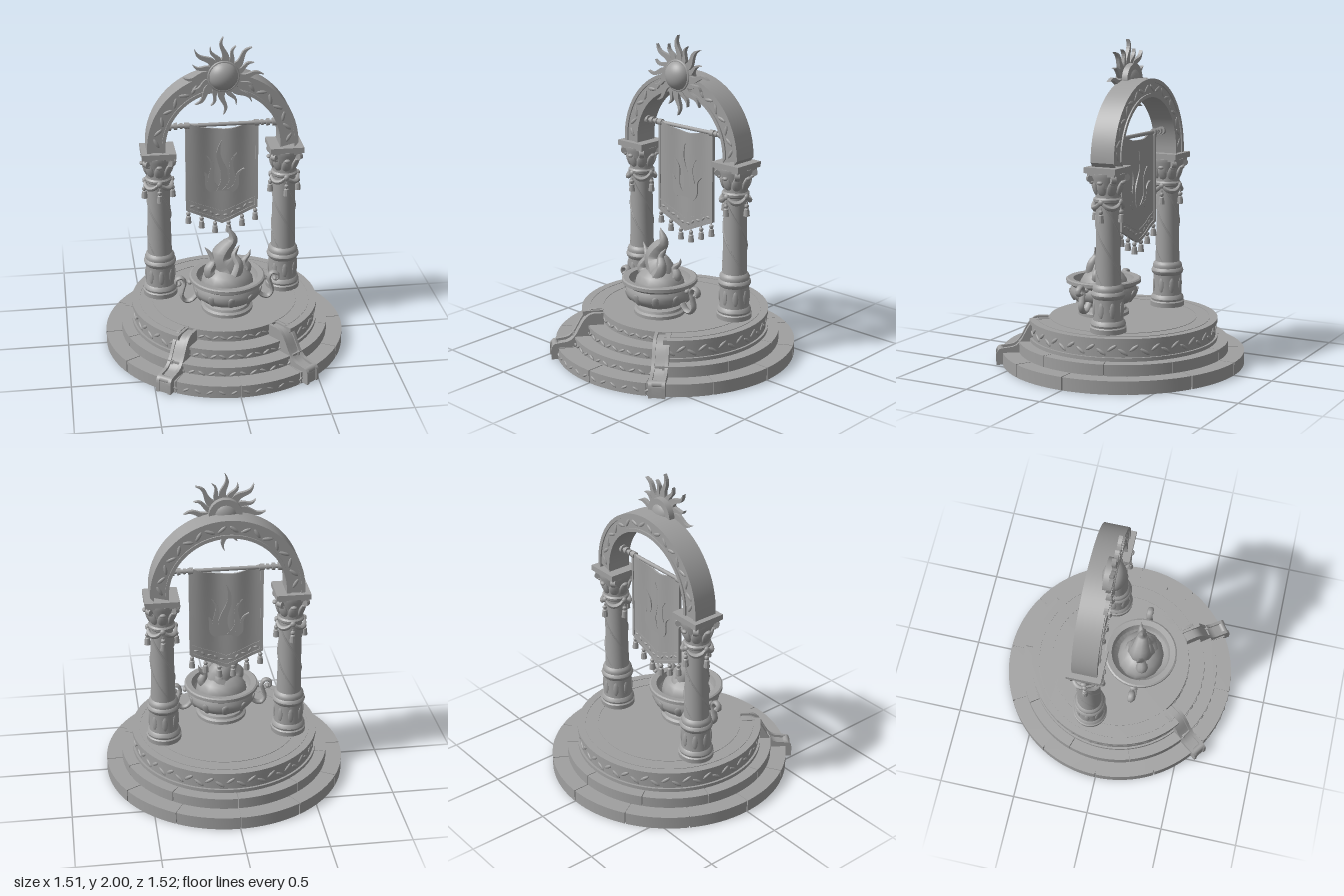
import * as THREE from 'three';
import { toCreasedNormals } from 'three/addons/utils/BufferGeometryUtils.js';

const stone = new THREE.MeshStandardMaterial({ color: 0xa0a0a0 });
stone.name = 'grey stone';
const RAD = Math.PI / 180;

function add(parent, name, geo, x = 0, y = 0, z = 0) {
  const m = new THREE.Mesh(geo, stone);
  m.name = name;
  m.position.set(x, y, z);
  parent.add(m);
  return m;
}
function group(parent, name, x = 0, y = 0, z = 0) {
  const g = new THREE.Group();
  g.name = name;
  g.position.set(x, y, z);
  parent.add(g);
  return g;
}
const lathe = (pts, seg = 32) =>
  toCreasedNormals(new THREE.LatheGeometry(pts.map(p => new THREE.Vector2(...p)), seg), 0.6);
const ball = (rx, ry, rz, w = 10, h = 8) => new THREE.SphereGeometry(1, w, h).scale(rx, ry, rz);

// Ring sector lying flat, angles in degrees from +x, -90 is the front
function sector(r0, r1, a0, a1, y0, y1) {
  const s = new THREE.Shape();
  s.absarc(0, 0, r1, a0 * RAD, a1 * RAD, false);
  s.absarc(0, 0, r0, a1 * RAD, a0 * RAD, true);
  const n = Math.max(6, Math.round((a1 - a0) / 4));
  const g = new THREE.ExtrudeGeometry(s, { depth: y1 - y0, bevelEnabled: false, curveSegments: n });
  return toCreasedNormals(g.rotateX(-Math.PI / 2).translate(0, y0, 0), 0.5);
}
// Tube whose radius follows a rule along its length
function tapered(pts, radius, seg = 24, sides = 10) {
  const c = new THREE.CatmullRomCurve3(pts.map(p => new THREE.Vector3(p[0], p[1], p[2] || 0)));
  const g = new THREE.TubeGeometry(c, seg, 1, sides), pos = g.attributes.position, v = new THREE.Vector3();
  for (let i = 0; i < pos.count; i++) {
    const t = Math.floor(i / (sides + 1)) / seg, p = c.getPointAt(t);
    v.fromBufferAttribute(pos, i).sub(p).multiplyScalar(radius(t)).add(p);
    pos.setXYZ(i, v.x, v.y, v.z);
  }
  g.computeVertexNormals();
  return g;
}
// Flat wavy tongue pointing up +y
function tongue(len, w, amp, depth) {
  const left = [], right = [], n = 12;
  for (let i = 0; i <= n; i++) {
    const t = i / n, c = amp * Math.sin(t * Math.PI * 2), h = w * Math.pow(1 - t, 0.8);
    right.push(new THREE.Vector2(c + h, t * len));
    if (i < n) left.unshift(new THREE.Vector2(c - h, t * len));
  }
  return new THREE.ExtrudeGeometry(new THREE.Shape([...right, ...left]), { depth, bevelEnabled: false });
}
const tassel = () => lathe([[0, -0.085], [0.02, -0.083], [0.015, -0.04], [0.008, -0.034],
  [0.014, -0.024], [0.013, -0.014], [0.005, -0.008], [0.004, 0.004], [0, 0.004]], 10);

function buildBase(root) {
  const g = group(root, 'steppedBase');
  add(g, 'baseCore', new THREE.CylinderGeometry(0.743, 0.743, 0.076, 64), 0, 0.038);
  add(g, 'platformCore', new THREE.CylinderGeometry(0.46, 0.46, 0.285, 64), 0, 0.1425);
  // Paving blocks with fine joints
  for (let i = 0; i < 12; i++) add(g, 'baseBlock', sector(0.6, 0.755, i * 30 + 0.3, i * 30 + 29.7, 0, 0.08));
  for (let i = 0; i < 8; i++) add(g, 'middleBlock', sector(0.5, 0.655, -54 + i * 36 + 0.2, -54 + i * 36 + 35.8, 0.07, 0.148));
  // Upper tier with frieze between two lips
  add(g, 'upperTier', sector(0.42, 0.574, -54, 234, 0.14, 0.28));
  add(g, 'upperLip', sector(0.42, 0.587, -54, 234, 0.258, 0.285));
  add(g, 'lowerLip', sector(0.42, 0.587, -54, 234, 0.14, 0.17));
  add(g, 'floorRing', sector(0.535, 0.541, -54, 234, 0.284, 0.288));
  add(g, 'floorRing', sector(0.452, 0.458, -54, 234, 0.284, 0.288));
  // Front steps, each with a projecting tread
  [[0.65, 0.145], [0.565, 0.215], [0.46, 0.285]].forEach(([r, top]) => {
    add(g, 'stepRiser', sector(0.3, r - 0.01, -126, -54, top - 0.075, top - 0.015));
    add(g, 'stepTread', sector(0.3, r, -126, -54, top - 0.018, top));
  });
  // Carved leaves on frieze and risers
  const leaf = (deg, r, y, tilt, s) => {
    const m = add(g, 'carvedLeaf', ball(0.034 * s, 0.011 * s, 0.008, 8, 6), r * Math.cos(deg * RAD), y, -r * Math.sin(deg * RAD));
    m.rotation.set(0, Math.PI / 2 + deg * RAD, tilt, 'YXZ');
  };
  for (let i = 0; i < 44; i++) leaf(-50 + i * 6.5, 0.574, 0.214 + (i % 2 ? 0.012 : -0.012), i % 2 ? 0.6 : -0.6, 1);
  [[0.745, 0.036], [0.64, 0.1], [0.555, 0.17], [0.45, 0.24]].forEach(([r, y]) => {
    for (let i = 0; i < 12; i++) leaf(-121 + i * 5.6, r + 0.008, y, i % 2 ? 0.5 : -0.5, 0.75);
  });
}

// Sloping side walls beside the steps
function buildStringers(root) {
  const profile = (lift, cut) => {
    const s = new THREE.Shape();
    s.moveTo(0, 0.01);
    s.lineTo(0, 0.285 + lift);
    s.lineTo(0.06, 0.287 + lift);
    s.bezierCurveTo(0.15, 0.28 + lift, 0.15, 0.13 + lift, 0.23, 0.112 + lift);
    s.lineTo(0.29, 0.105 + lift);
    s.quadraticCurveTo(0.33 - cut, 0.1 + lift, 0.33 - cut, 0.065);
    s.lineTo(0.33 - cut, 0.005);
    return s;
  };
  const slab = (lift, cut, w) => toCreasedNormals(new THREE.ExtrudeGeometry(profile(lift, cut),
    { depth: w, bevelEnabled: false, curveSegments: 10 }).translate(0, 0, -w / 2), 0.5);
  for (const side of [-1, 1]) {
    const g = group(root, 'stairWall', side * 0.262, 0, 0.384);
    g.rotation.y = -Math.PI / 2 + side * 36 * RAD;
    add(g, 'wallBody', slab(-0.012, 0.008, 0.09));
    for (const e of [-1, 1]) add(g, 'wallRim', slab(0.004, 0, 0.02), 0, 0, e * 0.04);
    const scroll = add(g, 'wallScroll', new THREE.CylinderGeometry(0.022, 0.022, 0.1, 16), 0.3, 0.085, 0);
    scroll.rotation.x = Math.PI / 2;
  }
}

function buildColumn(root, x) {
  const g = group(root, 'column', x, 0, -0.11);
  add(g, 'columnShaft', lathe([[0, 0.283], [0.108, 0.283], [0.11, 0.315], [0.102, 0.322], [0.106, 0.335], [0.1, 0.352],
    [0.092, 0.36], [0.09, 0.49], [0.098, 0.5], [0.103, 0.515], [0.098, 0.53], [0.092, 0.535], [0.094, 0.55], [0.088, 0.565],
    [0.077, 0.575], [0.072, 0.8], [0.07, 1.06], [0.082, 1.07], [0.084, 1.085], [0.075, 1.095], [0.074, 1.13],
    [0.08, 1.17], [0.1, 1.215], [0.1, 1.237], [0, 1.237]]));
  add(g, 'abacus', new THREE.BoxGeometry(0.21, 0.034, 0.21), 0, 1.258);
  add(g, 'abacusNeck', new THREE.BoxGeometry(0.18, 0.02, 0.18), 0, 1.234);
  // Spiral vine on the shaft
  for (let k = 0; k < 3; k++) {
    const pts = [];
    for (let i = 0; i <= 14; i++) {
      const a = k * 2.094 + i * 0.28;
      pts.push([0.072 * Math.cos(a), 0.58 + i * 0.033, 0.072 * Math.sin(a)]);
    }
    add(g, 'spiralVine', tapered(pts, () => 0.0065, 40, 5));
  }
  for (let i = 0; i < 8; i++) {
    const a = i * Math.PI / 4, s = group(g, 'capitalOrnament');
    s.rotation.y = a;
    const corner = i % 2;
    add(s, 'capitalLeaf', ball(0.03, 0.048, 0.014), 0, 1.15, 0.08).rotation.x = 0.3;
    add(s, 'leafCurl', ball(0.02, 0.012, 0.014), 0, 1.187, 0.1);
    // Volutes at the corners, tassels on the faces
    if (corner) add(s, 'volute', new THREE.CylinderGeometry(0.022, 0.022, 0.03, 14).rotateZ(Math.PI / 2), 0, 1.208, 0.108);
    else add(s, 'columnTassel', tassel(), 0, 1.035, 0.088);
    // Garland swag hung between tassels
    if (corner) {
      const pts = [-1, -0.5, 0, 0.5, 1].map(u => [0.086 * Math.sin(u * Math.PI / 4), 1.035 + 0.04 * u * u, 0.086 * Math.cos(u * Math.PI / 4)]);
      add(s, 'garland', tapered(pts, t => 0.007 + 0.009 * Math.sin(t * Math.PI), 14, 7));
    } else add(s, 'garlandKnot', ball(0.018, 0.018, 0.014), 0, 1.07, 0.086);
    // Pedestal panel leaf
    add(s, 'pedestalLeaf', ball(0.018, 0.05, 0.008, 8, 6), 0, 0.425, 0.089);
  }
}

function buildArch(root) {
  const g = group(root, 'arch', 0, 1.3, -0.11);
  const band = (r0, r1, d) => {
    const s = new THREE.Shape();
    s.moveTo(r1, -0.028);
    s.absarc(0, 0, r1, 0, Math.PI, false);
    s.lineTo(-r1, -0.028);
    s.lineTo(-r0, -0.028);
    s.absarc(0, 0, r0, Math.PI, 0, true);
    s.lineTo(r0, -0.028);
    return toCreasedNormals(new THREE.ExtrudeGeometry(s, { depth: d, bevelEnabled: false, curveSegments: 40 }).translate(0, 0, -d / 2), 0.5);
  };
  add(g, 'archBody', band(0.355, 0.465, 0.136));
  add(g, 'archOuterRim', band(0.443, 0.466, 0.154));
  add(g, 'archInnerRim', band(0.354, 0.375, 0.154));
  for (let i = 0; i < 18; i++) {
    const a = (i + 0.5) * Math.PI / 18;
    for (const z of [-1, 1]) {
      const m = add(g, 'archLeaf', ball(0.033, 0.011, 0.007, 8, 6), 0.409 * Math.cos(a), 0.409 * Math.sin(a), z * 0.068);
      m.rotation.z = a + Math.PI / 2 + (i % 2 ? 0.6 : -0.6);
    }
  }
}

function buildSun(root) {
  const g = group(root, 'sun', 0, 1.755, -0.03);
  add(g, 'sunFace', ball(0.09, 0.09, 0.07, 32, 20));
  add(g, 'sunRim', new THREE.TorusGeometry(0.09, 0.009, 8, 32), 0, 0, 0.01);
  add(g, 'sunBack', new THREE.CylinderGeometry(0.1, 0.1, 0.05, 32).rotateX(Math.PI / 2), 0, 0, -0.025);
  for (let i = 0; i < 16; i++) {
    const ray = group(g, 'sunRay');
    ray.rotation.z = -i * Math.PI / 8;
    const long = i % 2 === 0;
    add(ray, 'rayBlade', tongue(long ? 0.17 : 0.125, long ? 0.026 : 0.02, long ? 0.014 : 0.011, 0.024), 0, 0.075, -0.012);
  }
}

function buildBanner(root) {
  const g = group(root, 'banner', 0, 0, -0.1);
  add(g, 'rod', new THREE.CylinderGeometry(0.012, 0.012, 0.68, 14).rotateZ(Math.PI / 2), 0, 1.42, 0);
  const bottom = x => 0.755 + 0.1 * Math.abs(x) / 0.225;
  const wave = (x, t) => 0.008 * Math.sin(x * 28) * (1 - 0.5 * t);
  // Cloth piece spanning x0..x1 and t0..t1, with t running from top to hem
  const cloth = (x0, x1, t0, t1, thick) => {
    const geo = new THREE.BoxGeometry(1, 1, thick, 24, 20, 1), p = geo.attributes.position;
    for (let i = 0; i < p.count; i++) {
      const x = x0 + (p.getX(i) + 0.5) * (x1 - x0), t = t0 + (0.5 - p.getY(i)) * (t1 - t0);
      const top = 1.435 - 0.045 * Math.max(0, 1 - (x / 0.2) ** 2);
      p.setXYZ(i, x, top + (bottom(x) - top) * t, p.getZ(i) + wave(x, t));
    }
    return toCreasedNormals(geo, 0.6);
  };
  add(g, 'bannerCloth', cloth(-0.225, 0.225, 0, 1, 0.012));
  add(g, 'bannerHem', cloth(-0.225, 0.225, 0.965, 1, 0.022));
  add(g, 'hemBand', cloth(-0.21, 0.21, 0.87, 0.885, 0.018));
  for (const s of [-1, 1]) {
    add(g, 'sideBorder', cloth(s * 0.217 - 0.009, s * 0.217 + 0.009, 0, 1, 0.022));
    for (const [x, r, l] of [[0.215, 0.02, 0.03], [0.25, 0.018, 0.016], [0.285, 0.022, 0.02], [0.325, 0.026, 0.025]])
      add(g, 'rodCollar', new THREE.CylinderGeometry(r, r, l, 14).rotateZ(Math.PI / 2), s * x, 1.42, 0);
    for (const x of [0.212, 0.128, 0.043]) add(g, 'bannerTassel', tassel(), s * x, bottom(x), 0);
    for (let i = 0; i < 5; i++) {
      const x = s * (0.025 + i * 0.04);
      add(g, 'hemLeaf', ball(0.02, 0.009, 0.012, 8, 6), x, bottom(x) + 0.045, wave(x, 0.93)).rotation.z = s * (i % 2 ? 0.9 : 0);
    }
  }
  // Flame emblem raised on both faces
  [[0, 0.34, 0.035, 0.022, 0], [-0.03, 0.25, 0.028, -0.02, 0.28], [0.03, 0.26, 0.028, 0.02, -0.25],
    [-0.05, 0.17, 0.022, -0.015, 0.55], [0.05, 0.17, 0.022, 0.015, -0.55]].forEach(([x, len, w, amp, rot]) => {
    add(g, 'flameEmblem', tongue(len, w, amp, 0.022), x, 0.98, -0.011 + wave(x, 0.6)).rotation.z = rot;
  });
}

function buildBrazier(root) {
  const g = group(root, 'brazier', 0, 0, 0.14);
  add(g, 'bowl', lathe([[0, 0.283], [0.16, 0.283], [0.16, 0.305], [0.145, 0.315], [0.14, 0.33], [0.115, 0.34], [0.12, 0.35],
    [0.165, 0.365], [0.2, 0.395], [0.212, 0.425], [0.208, 0.45], [0.2, 0.468], [0.215, 0.48], [0.235, 0.49], [0.235, 0.51],
    [0.225, 0.516], [0.19, 0.512], [0.18, 0.46], [0.14, 0.42], [0, 0.41]], 40));
  for (let i = 0; i < 10; i++) {
    const s = group(g, 'bowlPetal');
    s.rotation.y = i * Math.PI / 5;
    add(s, 'petal', ball(0.026, 0.043, 0.012), 0, 0.412, 0.2).rotation.x = 0.4;
  }
  for (const s of [-1, 1]) {
    const pts = [[0.19, 0.385], [0.225, 0.35], [0.26, 0.345], [0.285, 0.38], [0.275, 0.43], [0.265, 0.475], [0.285, 0.507],
      [0.318, 0.495], [0.318, 0.462], [0.297, 0.462]];
    const geo = tapered(pts.map(p => [s * p[0], p[1]]), t => 0.014 - 0.003 * t, 40, 8).scale(1, 1, 1.7);
    add(g, 'scrollHandle', geo);
    add(g, 'handleBead', ball(0.014, 0.014, 0.024), s * 0.3, 0.465, 0);
    add(g, 'handleCurl', ball(0.016, 0.016, 0.024), s * 0.235, 0.475, 0);
  }
  // Fire: a low mound with curling tongues
  add(g, 'fireMound', ball(0.165, 0.125, 0.15, 14, 10), 0, 0.46, 0);
  const flick = t => Math.pow(1 - t, 0.85);
  [[[[0, 0.46], [0.005, 0.56], [-0.035, 0.64], [-0.005, 0.7], [0.035, 0.75], [0.01, 0.835, 0.005]], 0.115],
    [[[-0.07, 0.5, 0.02], [-0.115, 0.56, 0.03], [-0.085, 0.62, 0.02], [-0.11, 0.67, 0.01], [-0.14, 0.71, 0]], 0.05],
    [[[0.07, 0.5, -0.01], [0.125, 0.54, -0.02], [0.11, 0.59, -0.02], [0.14, 0.625, -0.03], [0.15, 0.66, -0.03]], 0.045],
    [[[0.03, 0.52, 0.06], [0.06, 0.6, 0.05], [0.04, 0.66, 0.03], [0.075, 0.72, 0.02]], 0.05],
    [[[-0.02, 0.5, -0.07], [0.02, 0.57, -0.06], [-0.02, 0.63, -0.04], [-0.05, 0.68, -0.03]], 0.05]
  ].forEach(([pts, r]) => add(g, 'fireTongue', tapered(pts, t => r * flick(t) + 0.0005, 22, 9)));
}

export function createModel() {
  const root = new THREE.Group();
  root.name = 'sunShrine';
  buildBase(root);
  buildStringers(root);
  for (const s of [-1, 1]) buildColumn(root, s * 0.395);
  buildArch(root);
  buildSun(root);
  buildBanner(root);
  buildBrazier(root);
  return root;
}
